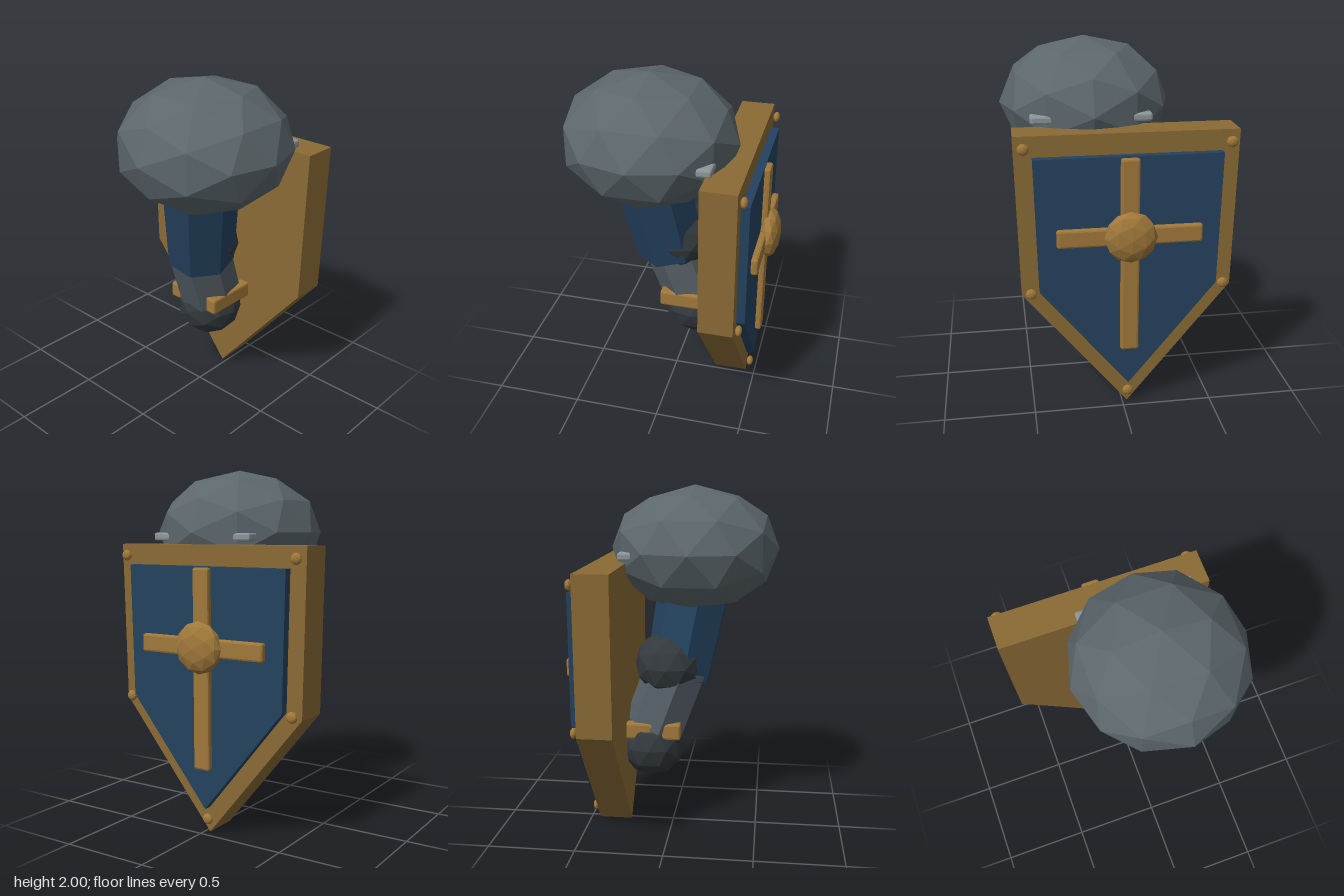
import * as THREE from 'three';
import { RoundedBoxGeometry } from 'three/addons/geometries/RoundedBoxGeometry.js';

const mat = (color) => new THREE.MeshStandardMaterial({ color, flatShading: true });

export function createModel() {
  const root = new THREE.Group();
  const wood = mat(0x8a6a35), brass = mat(0xa0783a), blue = mat(0x24425f);
  const steel = mat(0x5c676c), forearmGrey = mat(0x555f66), dark = mat(0x33393d), pale = mat(0x8c9598);

  const add = (parent, name, geometry, material, pos = [0, 0, 0]) => {
    const mesh = new THREE.Mesh(geometry, material);
    mesh.name = name;
    mesh.position.set(...pos);
    parent.add(mesh);
    return mesh;
  };
  // Faceted ellipsoid
  const ball = (parent, name, material, pos, [rx, ry, rz]) =>
    add(parent, name, new THREE.IcosahedronGeometry(1, 1).scale(rx, ry, rz), material, pos);
  // Box with small chamfers
  const bar = (parent, name, material, pos, [w, h, d], r = 0.012) =>
    add(parent, name, new RoundedBoxGeometry(w, h, d, 1, r), material, pos);
  // Tapered seven-sided limb between two points
  const limb = (parent, name, material, from, to, rFrom, rTo) => {
    const a = new THREE.Vector3(...from), b = new THREE.Vector3(...to);
    const dir = b.clone().sub(a);
    const geo = new THREE.CylinderGeometry(rTo, rFrom, dir.length(), 7).rotateY(Math.PI / 7);
    const mesh = add(parent, name, geo, material);
    mesh.position.copy(a).add(b).multiplyScalar(0.5);
    mesh.quaternion.setFromUnitVectors(new THREE.Vector3(0, 1, 0), dir.normalize());
  };

  // Arm
  const arm = new THREE.Group();
  arm.name = 'arm';
  root.add(arm);
  ball(arm, 'shoulderGuard', steel, [0.137, 1.64, 0.11], [0.478, 0.36, 0.488]);
  bar(arm, 'shoulderStrap', pale, [0.14, 1.617, -0.25], [0.65, 0.045, 0.085]);
  limb(arm, 'upperArm', blue, [0.03, 0.895, 0.025], [0.14, 1.6, 0.15], 0.195, 0.225);
  ball(arm, 'elbow', dark, [0.005, 0.98, -0.02], [0.215, 0.2, 0.205]);
  limb(arm, 'forearm', forearmGrey, [-0.012, 0.6, -0.105], [0.01, 0.97, 0.03], 0.185, 0.185);
  ball(arm, 'hand', dark, [-0.028, 0.5, -0.12], [0.195, 0.195, 0.195]);
  for (const side of [-1, 1]) {
    bar(arm, 'gripStrap', brass, [-0.003 + side * 0.14, 0.61, -0.1], [0.07, 0.095, 0.32]);
  }

  // Shield, carried behind the arm
  const shield = new THREE.Group();
  shield.name = 'shield';
  shield.position.x = -0.028;
  root.add(shield);
  const plate = (name, material, halfTop, top, halfMid, mid, bottom, depth, z) => {
    const outline = new THREE.Shape([
      [-halfTop, top], [-halfMid, mid], [0, bottom], [halfMid, mid], [halfTop, top],
    ].map(([x, y]) => new THREE.Vector2(x, y)));
    add(shield, name, new THREE.ExtrudeGeometry(outline, { depth, bevelEnabled: false }), material, [0, 0, z]);
  };
  plate('shieldBoard', wood, 0.592, 1.577, 0.572, 0.7, 0, 0.195, -0.447);
  plate('shieldPanel', blue, 0.498, 1.465, 0.481, 0.732, 0.143, 0.05, -0.495);

  // Raised cross and central boss
  bar(shield, 'crossUpright', brass, [0, 0.915, -0.51], [0.1, 1.09, 0.04]);
  bar(shield, 'crossBeam', brass, [0, 1.04, -0.515], [0.775, 0.1, 0.04]);
  ball(shield, 'shieldBoss', brass, [0, 1.04, -0.543], [0.142, 0.142, 0.06]);

  // Rivets at the five corners
  for (const [x, y] of [[-0.543, 1.515], [0.543, 1.515], [-0.525, 0.715], [0.525, 0.715], [0, 0.08]]) {
    ball(shield, 'rivet', brass, [x, y, -0.47], [0.031, 0.031, 0.02]);
  }
  return root;
}
